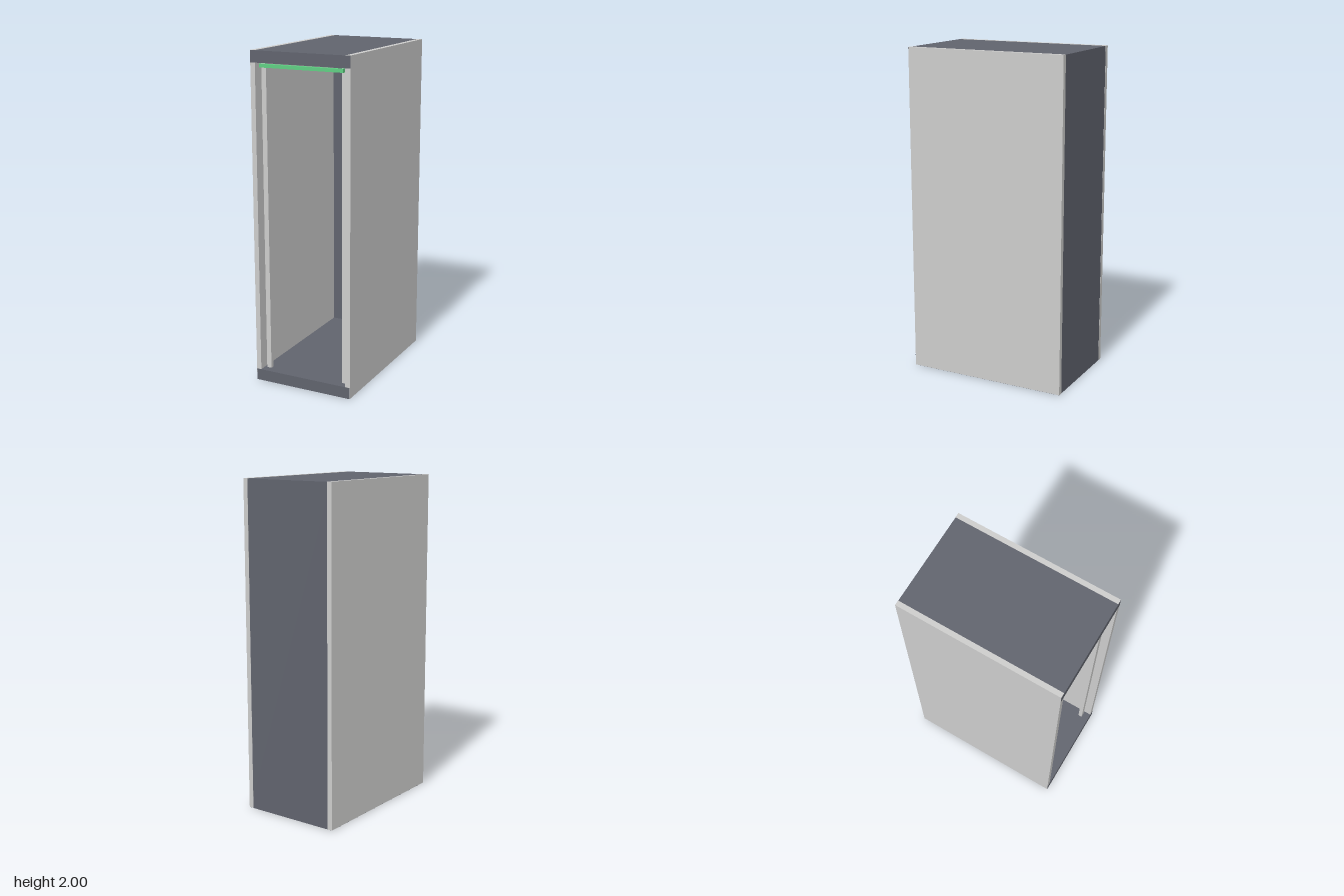
import * as THREE from 'three';

export function createModel() {
  const model = new THREE.Group();
  model.name = 'cabinet';

  const material = (name, color) => {
    const m = new THREE.MeshStandardMaterial({ color });
    m.name = name;
    return m;
  };
  const lightGrey = material('light grey', 0xcccccb);
  const slate = material('slate', 0x60636d);
  const green = material('green', 0x5fce82);

  // Box given by its limits on each axis
  const box = (name, mat, [x0, x1], [y0, y1], [z0, z1]) => {
    const mesh = new THREE.Mesh(new THREE.BoxGeometry(x1 - x0, y1 - y0, z1 - z0), mat);
    mesh.position.set((x0 + x1) / 2, (y0 + y1) / 2, (z0 + z1) / 2);
    mesh.name = name;
    model.add(mesh);
  };

  // Base, top and back; the slabs sit a hair proud of the side panels' edges
  box('base', slate, [-0.314, 0.314], [0, 0.07], [-0.499, 0.501]);
  box('top', slate, [-0.314, 0.314], [1.93, 1.999], [-0.499, 0.501]);
  box('backPanel', slate, [-0.285, 0.285], [0.07, 1.93], [-0.499, -0.47]);

  // Side panels and the slim posts just inside the opening
  for (const [side, s] of [['left', 1], ['right', -1]]) {
    const span = (a, b) => [s * a, s * b].sort((p, q) => p - q);
    box(side + 'SidePanel', lightGrey, span(0.285, 0.315), [0.001, 2], [-0.5, 0.5]);
    box(side + 'Post', lightGrey, span(0.24, 0.27), [0.07, 1.93], [0.43, 0.455]);
  }

  // Light bar under the top
  box('lightBar', green, [-0.265, 0.265], [1.903, 1.923], [0.465, 0.49]);

  return model;
}
